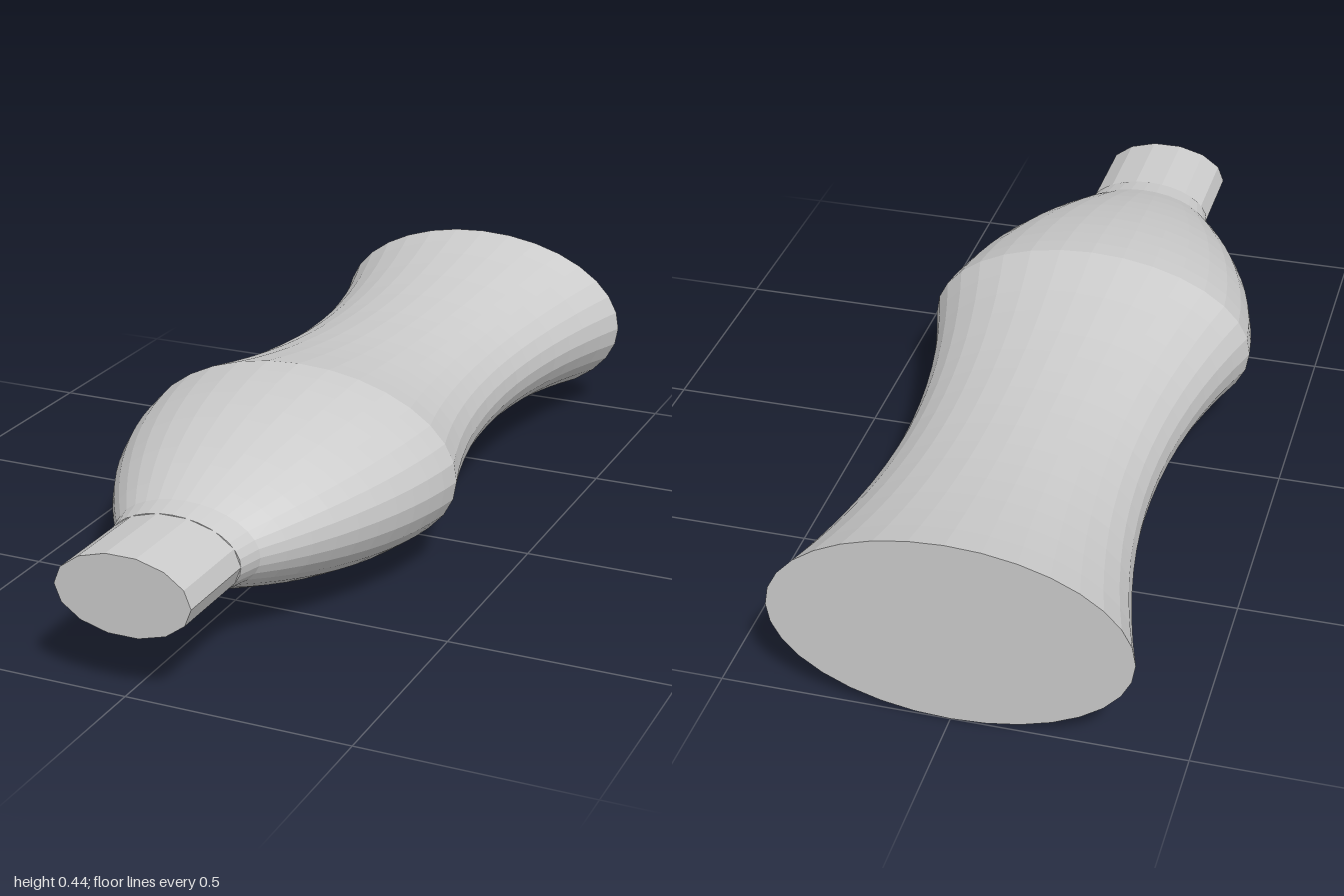
import * as THREE from 'three';

const RX = 0.387, RY = 0.2225; // largest half width and half height

export function createModel() {
  const group = new THREE.Group();
  const material = new THREE.MeshStandardMaterial({ color: 0xcccccc, flatShading: true });

  // Lathe a [radius, z] profile along z and flatten it into an ellipse
  function addTurned(name, profile, sides, start = 0) {
    const points = profile.map(([r, z]) => new THREE.Vector2(r, z));
    const geometry = new THREE.LatheGeometry(points, sides, start);
    geometry.rotateX(Math.PI / 2);
    geometry.scale(1, RY / RX, 1);
    geometry.translate(0, RY, 0);
    const mesh = new THREE.Mesh(geometry, material);
    mesh.name = name;
    group.add(mesh);
  }

  // Waisted grip: shallow concave curve from the flat end to the ridge
  const grip = [[0, -1]];
  for (let i = 0; i <= 16; i++) {
    const s = i / 8 - 1;
    grip.push([0.289 + (RX - 0.289) * s * s, -0.415 + 0.585 * s]);
  }
  addTurned('grip', grip, 32);

  // Shoulder: convex taper from the ridge, with a small flare into the neck
  const shoulder = [];
  for (let i = 0; i <= 10; i++) {
    const t = i / 10;
    shoulder.push([RX - 0.057 * t - 0.16 * t * t, 0.17 + 0.55 * t]);
  }
  shoulder.push([0.155, 0.78], [0, 0.78]);
  addTurned('shoulder', shoulder, 32);

  // Neck: straight faceted stub with a flat end
  addTurned('neck', [[0.155, 0.74], [0.155, 1], [0, 1]], 14, Math.PI / 2);

  return group;
}
